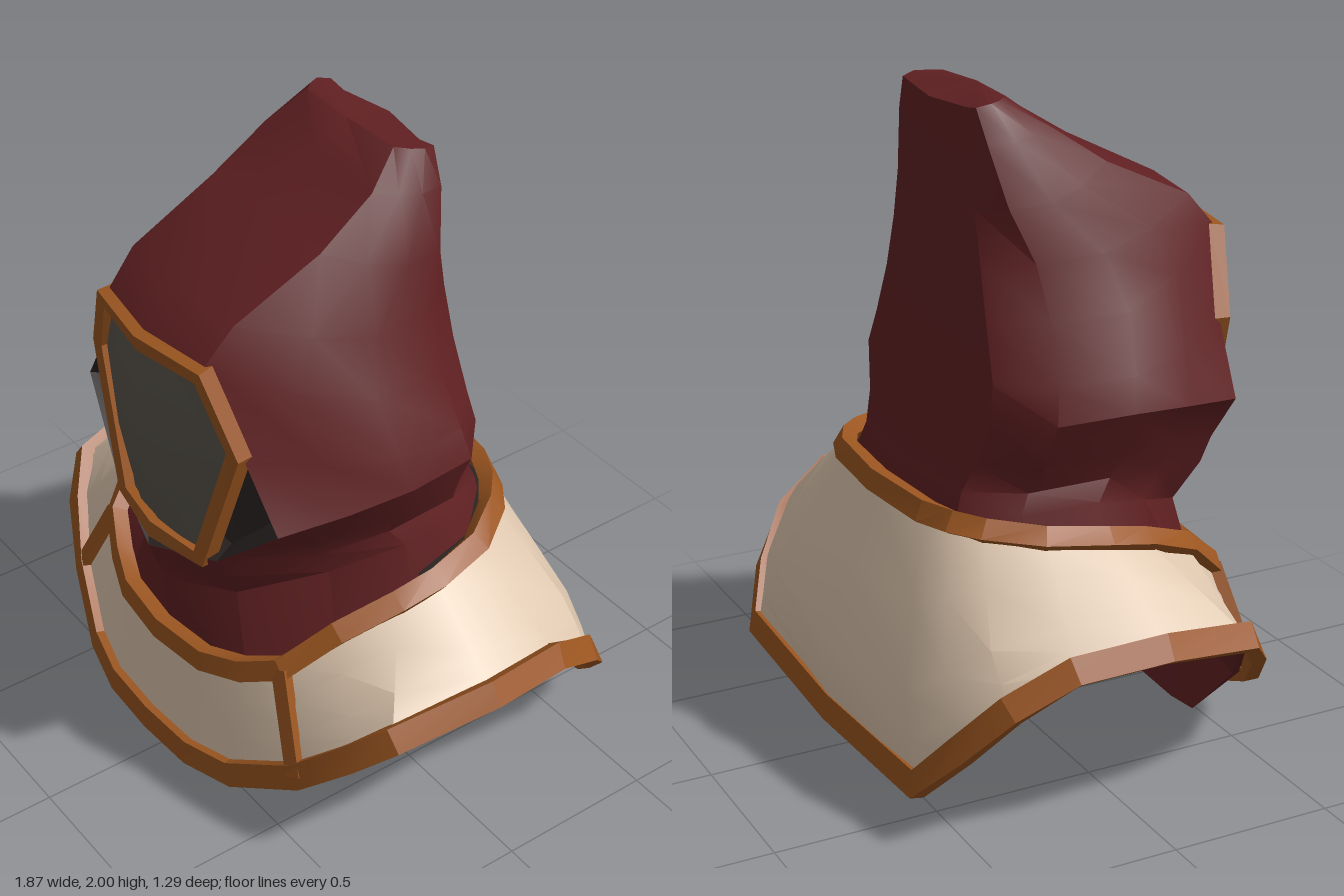
import * as THREE from 'three';
import { toCreasedNormals } from 'three/addons/utils/BufferGeometryUtils.js';

const { lerp, smoothstep } = THREE.MathUtils;
const V = (a) => new THREE.Vector3(...a);
const paint = (name, color) => {
  const m = new THREE.MeshStandardMaterial({ color, side: THREE.DoubleSide });
  m.name = name;
  return m;
};

// Full ring from a half listed front centre -> side -> back centre
const ring = (half) => {
  const pts = half.map(V);
  const mirrored = pts.slice(1, -1).reverse().map((p) => new THREE.Vector3(-p.x, p.y, p.z));
  return [...pts, ...mirrored];
};

// Skin a list of equal-length cross-sections
function loft(name, rows, material, { closeU = true, closeV = false, cap = false, skip = () => false, crease = 0.45 } = {}) {
  const n = rows[0].length, pos = [], idx = [];
  rows.forEach((r) => r.forEach((p) => pos.push(p.x, p.y, p.z)));
  for (let i = 0; i < (closeV ? rows.length : rows.length - 1); i++) {
    for (let j = 0; j < (closeU ? n : n - 1); j++) {
      if (skip(i, j)) continue;
      const k = (j + 1) % n, b = ((i + 1) % rows.length) * n, a = i * n;
      idx.push(a + j, b + j, b + k, a + j, b + k, a + k);
    }
  }
  if (cap) for (let j = 1; j < n - 1; j++) idx.push(0, j, j + 1);
  const g = new THREE.BufferGeometry();
  g.setAttribute('position', new THREE.Float32BufferAttribute(pos, 3));
  g.setIndex(idx);
  const mesh = new THREE.Mesh(toCreasedNormals(g, crease), material);
  mesh.name = name;
  return mesh;
}

// Rectangular moulding along a path; across[] gives the width direction
function band(name, pts, across, w, t, closed, material) {
  const n = pts.length;
  const sections = pts.map((p, i) => {
    const next = closed ? pts[(i + 1) % n] : pts[Math.min(i + 1, n - 1)];
    const prev = closed ? pts[(i + n - 1) % n] : pts[Math.max(i - 1, 0)];
    const tan = next.clone().sub(prev).normalize();
    const a = across[i].clone().addScaledVector(tan, -across[i].dot(tan)).normalize();
    const nor = tan.clone().cross(a);
    return [[1, 1], [1, -1], [-1, -1], [-1, 1]].map(([u, v]) =>
      p.clone().addScaledVector(a, u * w / 2).addScaledVector(nor, v * t / 2));
  });
  return loft(name, sections, material, { closeV: closed, crease: 0.3 });
}

// Rounded-box cross-section of the hood: front centre (yF, zF), front edge (e, yE, zE),
// side half width w at height yS, back depth zB
const hoodRing = ([yF, zF, e, yE, zE, w, yS, zB]) => ring([
  [0, yF, zF],
  [e, yE, zE],
  [lerp(e, w, .65), lerp(yE, yS, .6), lerp(zE, zB, .25)],
  [w, yS, lerp(zE, zB, .5)],
  [w * .95, yS - .01, lerp(zE, zB, .79)],
  [w * .7, yS - .02, zB + .03],
  [0, yS - .02, zB],
]);

export function createModel() {
  const red = paint('red cloth', 0x602022);
  const cream = paint('cream panel', 0xdcc5ad);
  const bronze = paint('bronze trim', 0x9a5520);
  const grey = paint('grey visor', 0x5a554c);
  const dark = paint('dark lining', 0x2b2423);
  const model = new THREE.Group();
  model.name = 'hoodedMantle';

  // Hood and neck cloth, crown to collar
  const hoodRows = [
    [2, -.11, .2, 1.995, -.12, .25, 1.99, -.26],
    [1.93, 0, .25, 1.91, -.01, .305, 1.89, -.275],
    [1.82, .18, .26, 1.79, .17, .36, 1.72, -.275],
    [1.67, .48, .25, 1.66, .45, .41, 1.57, -.275],
    [1.565, .58, .24, 1.56, .54, .475, 1.41, -.28],
    [1.3, .5, .36, 1.3, .5, .56, 1.25, -.29],
    [1.1, .5, .49, 1.1, .48, .59, 1.15, -.31],
    [.81, .6, .27, .9, .54, .52, 1.01, -.33],
    [.75, .58, .26, .82, .51, .47, .92, -.36],
    [.65, .54, .22, .7, .44, .49, .86, -.38],
    [.38, .54, .33, .4, .48, .55, .62, -.41],
  ].map(hoodRing);
  model.add(loft('hood', hoodRows, red, {
    cap: true,
    crease: .65,
    skip: (i, j) => i >= 4 && i <= 6 && (j === 0 || j === 11), // face opening
  }));

  // Shadowed recess joined to the edge of the face opening
  const recess = hoodRows.slice(4, 8).map((r) => {
    const [a, b] = [r[11], r[1]];
    const inner = [a, b].map((p) => new THREE.Vector3(p.x * .85, p.y, p.z - .08));
    return [a, ...inner, b];
  });
  const lip = hoodRows[7];
  recess.push([lip[11], lip[0], lip[0], lip[1]]);
  model.add(loft('faceRecess', recess, dark, { closeU: false }));

  // Bulged visor: y, half width, centre z, edge z
  const visor = [[1.54, .24, .575, .535], [1.42, .295, .6, .515], [1.31, .345, .615, .5],
    [1.15, .295, .615, .505], [1, .24, .59, .515], [.86, .2, .555, .525]]
    .map(([y, w, zc, ze]) => [-1, -.55, 0, .55, 1].map((u) => V([u * w, y, zc + (ze - zc) * u * u])));
  model.add(loft('visor', visor, grey, { closeU: false }));

  // Visor frame
  const framePath = ring([[0, 1.535, .585], [.24, 1.535, .545], [.345, 1.31, .505], [.2, .87, .535], [0, .865, .57]]);
  const visorCentre = V([0, 1.2, .53]);
  model.add(band('visorFrame', framePath, framePath.map((p) => p.clone().sub(visorCentre)), .053, .05, true, bronze));

  // Mantle rings: neck edge and hem
  const neck = ring([[0, .48, .57], [.2, .485, .55], [.33, .51, .5], [.45, .57, .44], [.53, .69, .3], [.59, .76, .13],
    [.6, .79, 0], [.56, .81, -.18], [.46, .825, -.32], [.38, .835, -.38], [.28, .84, -.42], [0, .845, -.445]]);
  const hem = ring([[0, .145, .625], [.2, .145, .615], [.37, .165, .575], [.59, .28, .49], [.74, .42, .41], [.83, .515, .33],
    [.895, .575, .02], [.86, .55, -.25], [.81, .45, -.42], [.72, .31, -.53], [.6, .17, -.605], [0, .14, -.61]]);
  const between = (t) => neck.map((p, i) => {
    const q = p.clone().lerp(hem[i], t);
    if (q.z < -.3) q.z -= .08 * (1 - Math.abs(q.x) / 1.2) * Math.sin(Math.PI * t ** 1.5); // rounded back
    return q;
  });
  model.add(loft('mantle', [neck, between(.33), between(.66), between(.85), hem], cream));

  // Mantle edging and the two front dividers
  const across = neck.map((p, i) => p.clone().sub(hem[i]));
  const steep = across.map((a) => a.clone().setY(a.y + .25));
  model.add(band('neckTrim', neck, across, .065, .05, true, bronze));
  model.add(band('hemTrim', hem, steep, .08, .045, true, bronze));
  for (const i of [3, neck.length - 3]) {
    const dir = hem[i + 1].clone().sub(hem[i - 1]);
    model.add(band(i === 3 ? 'leftDivider' : 'rightDivider', [neck[i], hem[i]], [dir, dir], .05, .05, false, bronze));
  }

  // Dark gap between neck cloth and collar, sides and back
  const inset = (pts, s, drop) => pts.map((p) => new THREE.Vector3(p.x * s, p.y - drop, p.z * s));
  const rear = neck.slice(6, 17);
  model.add(loft('collarGap', [inset(rear, .98, .03), inset(rear, .82, .04)], dark, { closeU: false }));

  // Red lining with a hem that hangs lowest at the front
  const flap = hem.map((p) => {
    const front = smoothstep(p.z, .48, .6), back = smoothstep(-p.z, .5, .6);
    return new THREE.Vector3(p.x * .93, p.y - .03 - .11 * front - .03 * back, p.z * lerp(.95, .77, front));
  });
  model.add(loft('lining', [inset(hem, .98, .01), flap, inset(between(.6), .91, .05), inset(neck, .8, .08)], red));

  return model;
}
